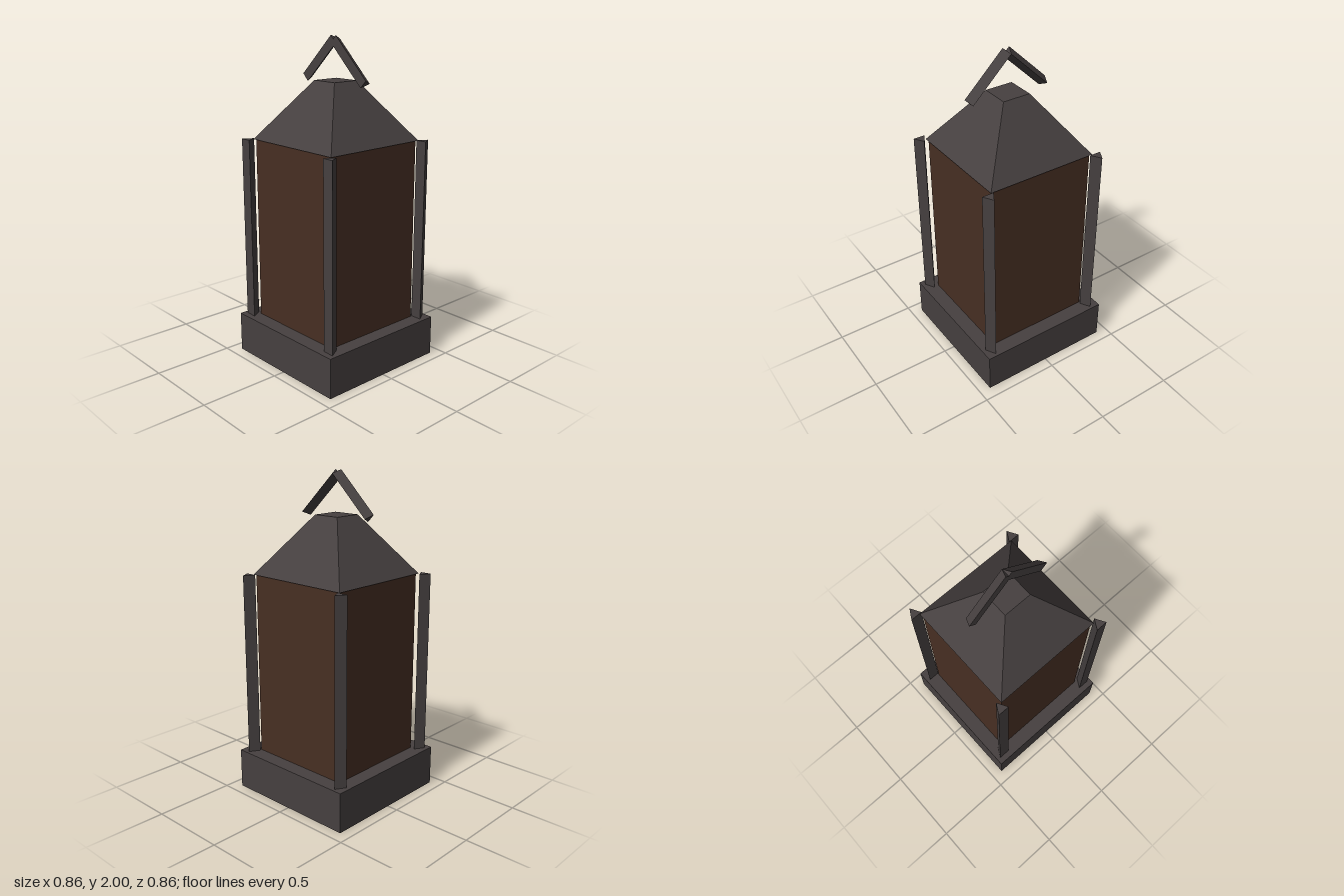
import * as THREE from 'three';

export function createModel() {
  const model = new THREE.Group();
  model.name = 'lantern';

  const iron = new THREE.MeshStandardMaterial({ color: 0x464040 });
  iron.name = 'dark iron';
  iron.flatShading = true;
  const amber = new THREE.MeshStandardMaterial({ color: 0x472f23 });
  amber.name = 'smoky amber glass';

  const add = (name, geometry, material, x, y, z) => {
    const mesh = new THREE.Mesh(geometry, material);
    mesh.name = name;
    mesh.position.set(x, y, z);
    model.add(mesh);
    return mesh;
  };

  // Three-sided bar along y, with one edge pointing to the back
  const bar = (radius, length) =>
    new THREE.CylinderGeometry(radius, radius, length, 3).rotateY(Math.PI);

  // Plinth and glass body
  const baseTop = 0.25, eaves = 1.385, roofTop = 1.74;
  add('base', new THREE.BoxGeometry(0.86, baseTop, 0.86), iron, 0, baseTop / 2, 0);
  add('glassBody', new THREE.BoxGeometry(0.674, eaves - baseTop, 0.674), amber,
    0, (baseTop + eaves) / 2, 0);

  // Corner posts
  for (const [side, x] of [['Left', 0.37], ['Right', -0.37]]) {
    for (const [end, z] of [['front', 0.371], ['back', -0.371]]) {
      add(`${end}${side}Post`, bar(0.042, eaves - baseTop), iron,
        x, (baseTop + eaves) / 2, z);
    }
  }

  // Truncated pyramid roof
  const roof = new THREE.CylinderGeometry(0.088 * Math.SQRT2, 0.349 * Math.SQRT2, roofTop - eaves, 4)
    .rotateY(Math.PI / 4);
  add('roof', roof, iron, 0, (eaves + roofTop) / 2, 0);

  // Carrying handle: two sloping bars meeting at the peak
  const run = 0.25, rise = 0.24;
  for (const [side, s] of [['left', 1], ['right', -1]]) {
    const arm = add(`${side}HandleBar`, bar(0.035, Math.hypot(run, rise)), iron,
      s * run / 2, 1.978 - rise / 2, 0);
    arm.rotation.z = s * Math.atan2(run, rise);
  }

  return model;
}
